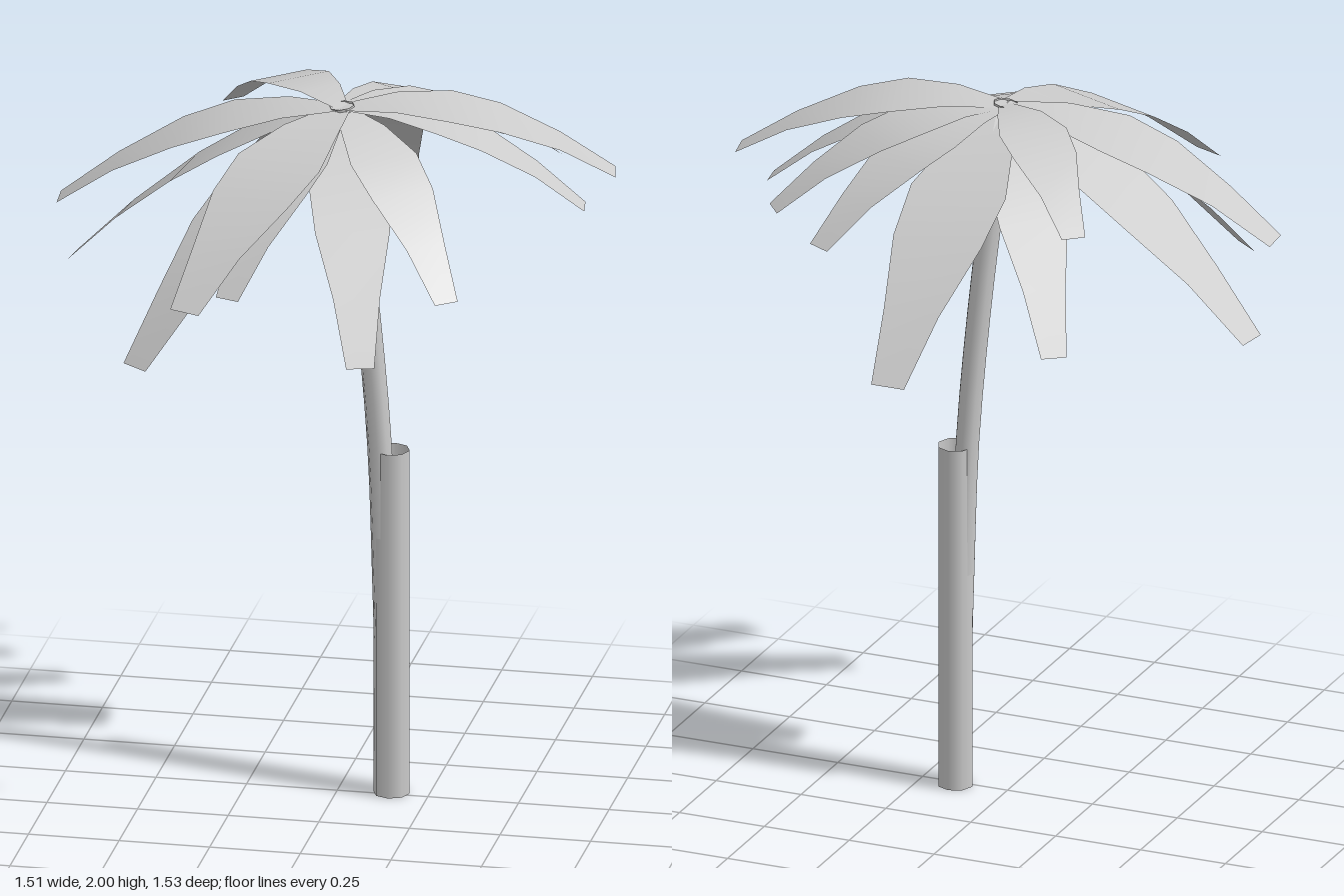
import * as THREE from 'three';

const CROWN = new THREE.Vector3(0.02, 1.985, 0.035);

// Frond tips: x, y, z
const TIPS = [
  [0.02, 1.46, -0.77], [0.325, 1.73, -0.535], [0.53, 1.75, -0.37],
  [0.745, 1.8, -0.11], [0.67, 1.71, -0.065], [0.405, 1.62, 0.51],
  [0.2, 1.475, 0.67], [-0.27, 1.63, 0.745], [-0.18, 1.625, 0.61],
  [-0.43, 1.42, 0.635], [-0.75, 1.69, 0.09], [-0.75, 1.46, -0.07],
  [-0.37, 1.82, -0.405], [-0.34, 1.49, -0.47],
];

// Half width along a frond: position, half width
const WIDTHS = [[0, 0.03], [0.2, 0.09], [0.4, 0.138], [0.58, 0.128], [0.8, 0.08], [1, 0.048]];

// Arched strip that droops from the crown to its tip
function frondGeometry([x, y, z]) {
  const dx = x - CROWN.x, dz = z - CROWN.z;
  const length = Math.hypot(dx, dz);
  const sx = dz / length, sz = -dx / length;
  const drop = CROWN.y - y;
  const scale = Math.pow(length / 0.8, 1.2);
  const positions = [], index = [];
  WIDTHS.forEach(([t, half], i) => {
    const h = CROWN.y - ((drop - 0.32) * t + 0.32 * t * t);
    for (const side of [-1, 1]) {
      positions.push(
        CROWN.x + dx * t + sx * half * scale * side,
        h,
        CROWN.z + dz * t + sz * half * scale * side);
    }
    if (i > 0) {
      const a = 2 * (i - 1);
      index.push(a, a + 2, a + 1, a + 1, a + 2, a + 3);
    }
  });
  const g = new THREE.BufferGeometry();
  g.setAttribute('position', new THREE.Float32BufferAttribute(positions, 3));
  // Keep the upper side facing up
  const up = new THREE.Vector3(), p = (i) => new THREE.Vector3().fromArray(positions, i * 3);
  up.crossVectors(p(2).sub(p(0)), p(1).sub(p(0)));
  g.setIndex(up.y < 0 ? index.reverse() : index);
  g.computeVertexNormals();
  return g;
}

export function createModel() {
  const model = new THREE.Group();
  const grey = new THREE.MeshStandardMaterial({ color: 0xcccccc, side: THREE.DoubleSide });
  grey.name = 'pale grey';

  const add = (name, geometry) => {
    const mesh = new THREE.Mesh(geometry, grey);
    mesh.name = name;
    model.add(mesh);
    return mesh;
  };

  // Upright lower trunk sleeve
  add('lowerTrunk', new THREE.CylinderGeometry(0.05, 0.05, 0.99, 8, 1, true))
    .position.set(0.147, 0.495, -0.014);

  // Slender leaning trunk, rising out of the sleeve to the crown
  const path = new THREE.CatmullRomCurve3([
    [0.143, 0.02, -0.012], [0.129, 0.6, -0.008], [0.116, 1, -0.004],
    [0.085, 1.4, 0.008], [0.045, 1.78, 0.025], [0.02, 1.99, 0.035],
  ].map((p) => new THREE.Vector3(...p)));
  add('leaningTrunk', new THREE.TubeGeometry(path, 16, 0.034, 8, false));

  // Crown of drooping fronds
  TIPS.forEach((tip, i) => add('frond' + (i + 1), frondGeometry(tip)));

  return model;
}
